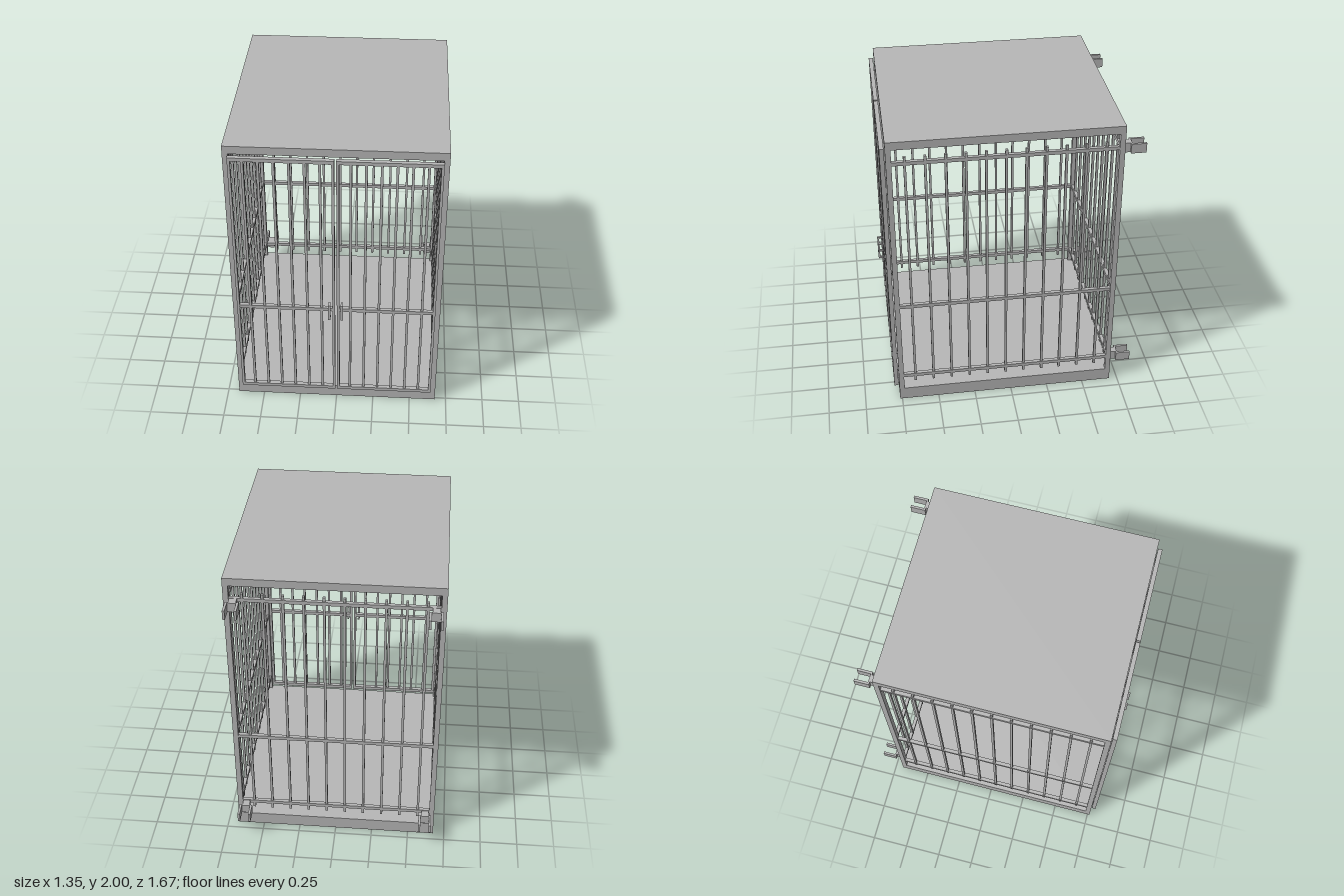
import * as THREE from 'three';

const steel = new THREE.MeshStandardMaterial({ color: 0xb8b8b8 });
steel.name = 'grey steel';

// Box given by its lower and upper limits on each axis
function block(parent, name, [x0, x1], [y0, y1], [z0, z1]) {
  const mesh = new THREE.Mesh(new THREE.BoxGeometry(x1 - x0, y1 - y0, z1 - z0), steel);
  mesh.position.set((x0 + x1) / 2, (y0 + y1) / 2, (z0 + z1) / 2);
  mesh.name = name;
  parent.add(mesh);
}

const around = (c, size) => [c - size / 2, c + size / 2];

function group(parent, name) {
  const g = new THREE.Group();
  g.name = name;
  parent.add(g);
  return g;
}

const W = 0.675, BACK = -0.695, FRONT = 0.765, POST = 0.034;
const MID = (BACK + FRONT) / 2;
const FLOOR = 0.09, CEILING = 1.947;
const RAIL = 0.024, BAR = 0.016;
const railHeights = [0.196, 0.776, 1.847];
const barSpan = [0.145, 1.89];

// Side wall: three rails with eleven bars running through them
function addSideWall(parent, s) {
  const wall = group(parent, s > 0 ? 'leftWall' : 'rightWall');
  const x = s * (W - POST / 2);
  for (const y of railHeights)
    block(wall, 'sideRail', around(x, RAIL), around(y, RAIL), [BACK + POST, FRONT - POST]);
  for (let i = -5; i <= 5; i++)
    block(wall, 'sideBar', around(x, BAR), barSpan, around(MID + i * 0.1234, BAR));
}

// Back wall: three rails with ten bars
function addBackWall(parent) {
  const wall = group(parent, 'backWall');
  const z = BACK + POST / 2;
  for (const y of railHeights)
    block(wall, 'backRail', [-W + POST, W - POST], around(y, RAIL), around(z, RAIL));
  for (let i = 0; i < 10; i++)
    block(wall, 'backBar', around((i - 4.5) * 0.125, BAR), barSpan, around(z, BAR));
}

// Door leaf: frame, cross rail, six bars and a pull handle
function addDoor(parent, s) {
  const door = group(parent, s > 0 ? 'leftDoor' : 'rightDoor');
  const inner = 0.006, outer = 0.642, t = 0.024, bottom = 0.094, top = 1.94;
  const z = [0.77, 0.798], zc = 0.784;
  const span = (a, b) => (s > 0 ? [a, b] : [-b, -a]);
  block(door, 'doorInnerStile', span(inner, inner + t * 0.7), [bottom, top], z);
  block(door, 'doorOuterStile', span(outer - t * 0.7, outer), [bottom, top], z);
  block(door, 'doorBottomRail', span(inner, outer), [bottom, bottom + t], z);
  block(door, 'doorTopRail', span(inner, outer), [top - t, top], z);
  block(door, 'doorCrossRail', span(inner + t * 0.7, outer - t * 0.7), around(0.797, RAIL), around(zc, RAIL));
  for (let i = 1; i <= 6; i++)
    block(door, 'doorBar', around(s * i * 0.0925, BAR), [bottom + t, top - t], around(zc, BAR));

  const handle = group(door, 'doorHandle');
  const hx = around(s * 0.04, 0.014);
  block(handle, 'handleGrip', hx, [0.742, 0.863], [0.823, 0.835]);
  for (const y of [0.748, 0.857])
    block(handle, 'handleArm', hx, around(y, 0.012), [0.798, 0.823]);
}

// Forked bracket: short stem, plate and two prongs
function addBracket(parent, s, y) {
  const bracket = group(parent, 'rearBracket');
  const x = s * 0.613, h = around(y, 0.064);
  block(bracket, 'bracketStem', around(x, 0.048), h, [-0.74, BACK]);
  block(bracket, 'bracketPlate', around(x, 0.086), h, [-0.748, -0.738]);
  for (const p of [-1, 1])
    block(bracket, 'bracketProng', around(x + p * 0.0355, 0.015), h, [-0.835, -0.748]);
}

export function createModel() {
  const model = new THREE.Group();
  model.name = 'barredCage';

  // Floor, roof and corner posts
  block(model, 'floorSlab', [-W, W], [0, FLOOR], [BACK, FRONT]);
  block(model, 'roofSlab', [-W, W], [CEILING, 2], [BACK, FRONT]);
  for (const s of [-1, 1]) {
    const x = around(s * (W - POST / 2), POST);
    block(model, 'backPost', x, [FLOOR, CEILING], [BACK, BACK + POST]);
    block(model, 'frontPost', x, [FLOOR, CEILING], [FRONT - POST, FRONT]);
    addSideWall(model, s);
    addDoor(model, s);
    for (const y of [0.175, 1.828]) addBracket(model, s, y);
    // Hinges joining the door to its post
    for (const y of [0.35, 1.65])
      block(model, 'doorHinge', around(s * 0.638, 0.006), around(y, 0.04), [FRONT, 0.77]);
  }
  addBackWall(model);
  return model;
}
